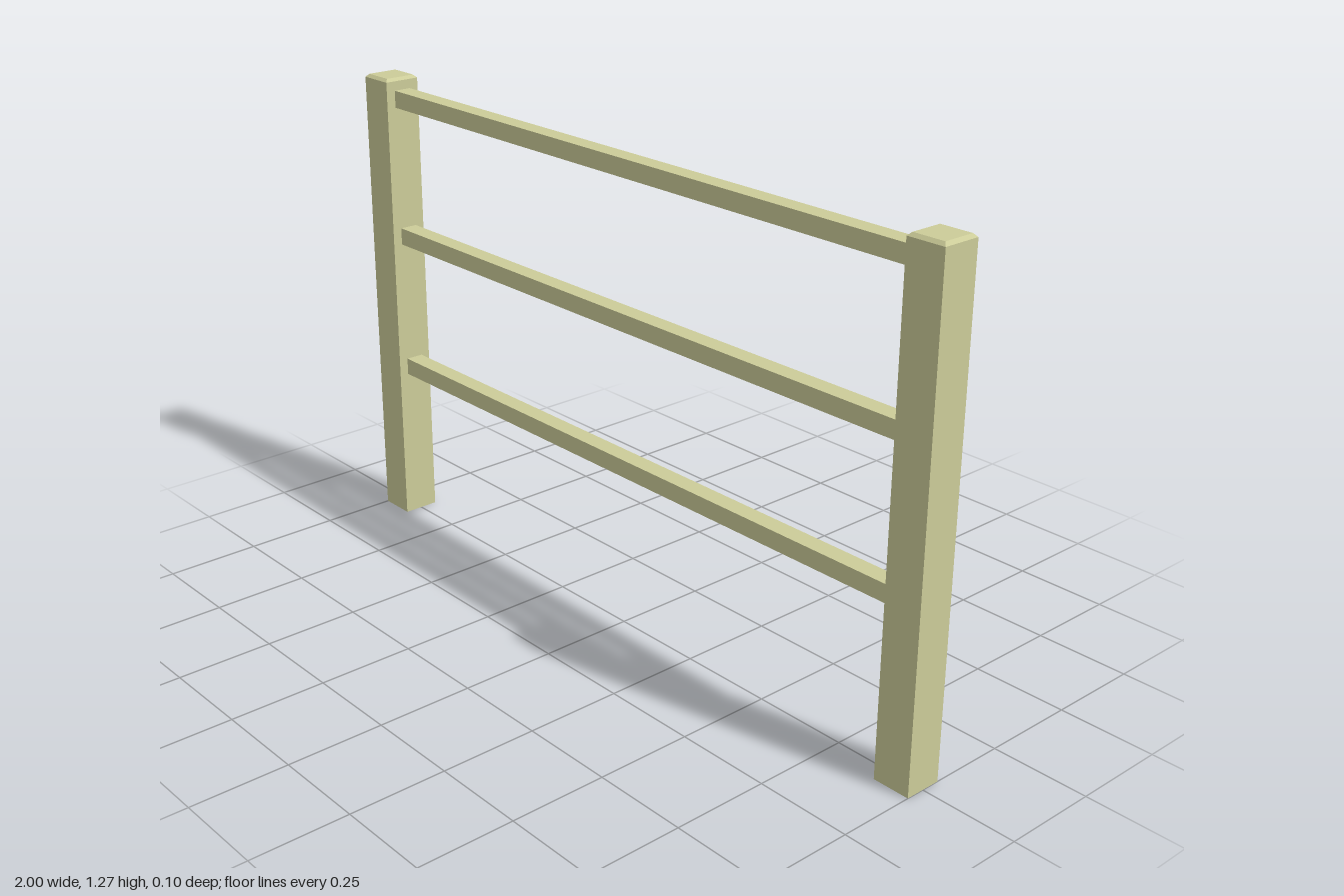
import * as THREE from 'three';

const POST = 0.099;     // post width
const HEIGHT = 1.266;   // post height
const BEVEL = 0.008;    // chamfer around the post top
const RAIL_LENGTH = 2 - 2 * POST;

const wood = new THREE.MeshStandardMaterial({ color: 0xcccc99, flatShading: true });

// Square post: four-sided lathe with a chamfered top edge
function postGeometry() {
  const corner = (half) => half * Math.SQRT2;
  const profile = [
    [0, 0],
    [corner(POST / 2), 0],
    [corner(POST / 2), HEIGHT - BEVEL],
    [corner(POST / 2 - BEVEL), HEIGHT],
    [0, HEIGHT],
  ].map(([r, y]) => new THREE.Vector2(r, y));
  return new THREE.LatheGeometry(profile, 4).rotateY(Math.PI / 4);
}

export function createModel() {
  const fence = new THREE.Group();
  fence.name = 'fence';

  // Posts at both ends
  const postShape = postGeometry();
  for (const [name, side] of [['leftPost', 1], ['rightPost', -1]]) {
    const post = new THREE.Mesh(postShape, wood);
    post.name = name;
    post.position.x = side * (1 - POST / 2);
    fence.add(post);
  }

  // Three horizontal rails between the posts
  const railShape = new THREE.BoxGeometry(RAIL_LENGTH, 0.046, 0.048);
  for (const [name, y] of [['lowerRail', 0.447], ['middleRail', 0.829], ['upperRail', 1.21]]) {
    const rail = new THREE.Mesh(railShape, wood);
    rail.name = name;
    rail.position.y = y;
    fence.add(rail);
  }

  return fence;
}
